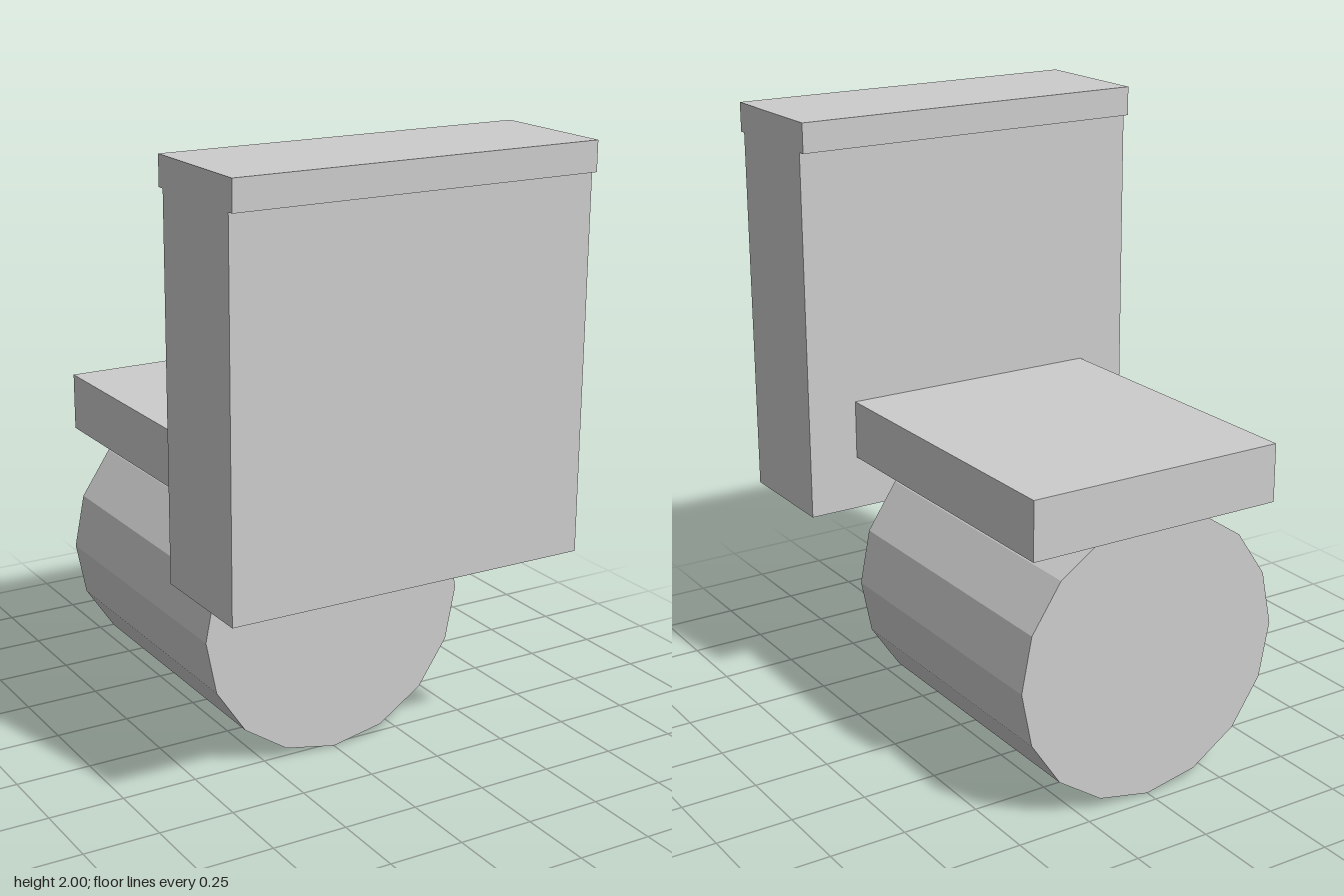
import * as THREE from 'three';

export function createModel() {
  const group = new THREE.Group();
  const material = new THREE.MeshStandardMaterial({ color: 0xcccccc, flatShading: true });

  const add = (name, geometry) => {
    const mesh = new THREE.Mesh(geometry, material);
    mesh.name = name;
    group.add(mesh);
    return mesh;
  };

  // Box centred on x, given its width and its y and z limits
  const addBox = (name, width, y0, y1, z0, z1) =>
    add(name, new THREE.BoxGeometry(width, y1 - y0, z1 - z0))
      .position.set(0, (y0 + y1) / 2, (z0 + z1) / 2);

  // Upright slab with a cap overhanging front and back
  addBox('uprightPanel', 1.215, 0.71, 1.905, 0.32, 0.708);
  addBox('panelCap', 1.215, 1.905, 2, 0.295, 0.73);

  // Flat plate reaching back from the slab
  addBox('plate', 0.88, 0.885, 1.075, -0.73, 0.32);

  // Sixteen-sided drum lying along z, its top sunk into the plate
  const radius = 0.465;
  const drum = add('drum', new THREE.CylinderGeometry(radius, radius, 0.975, 16));
  drum.rotation.x = Math.PI / 2;
  drum.position.set(0, radius, -0.218);

  return group;
}
